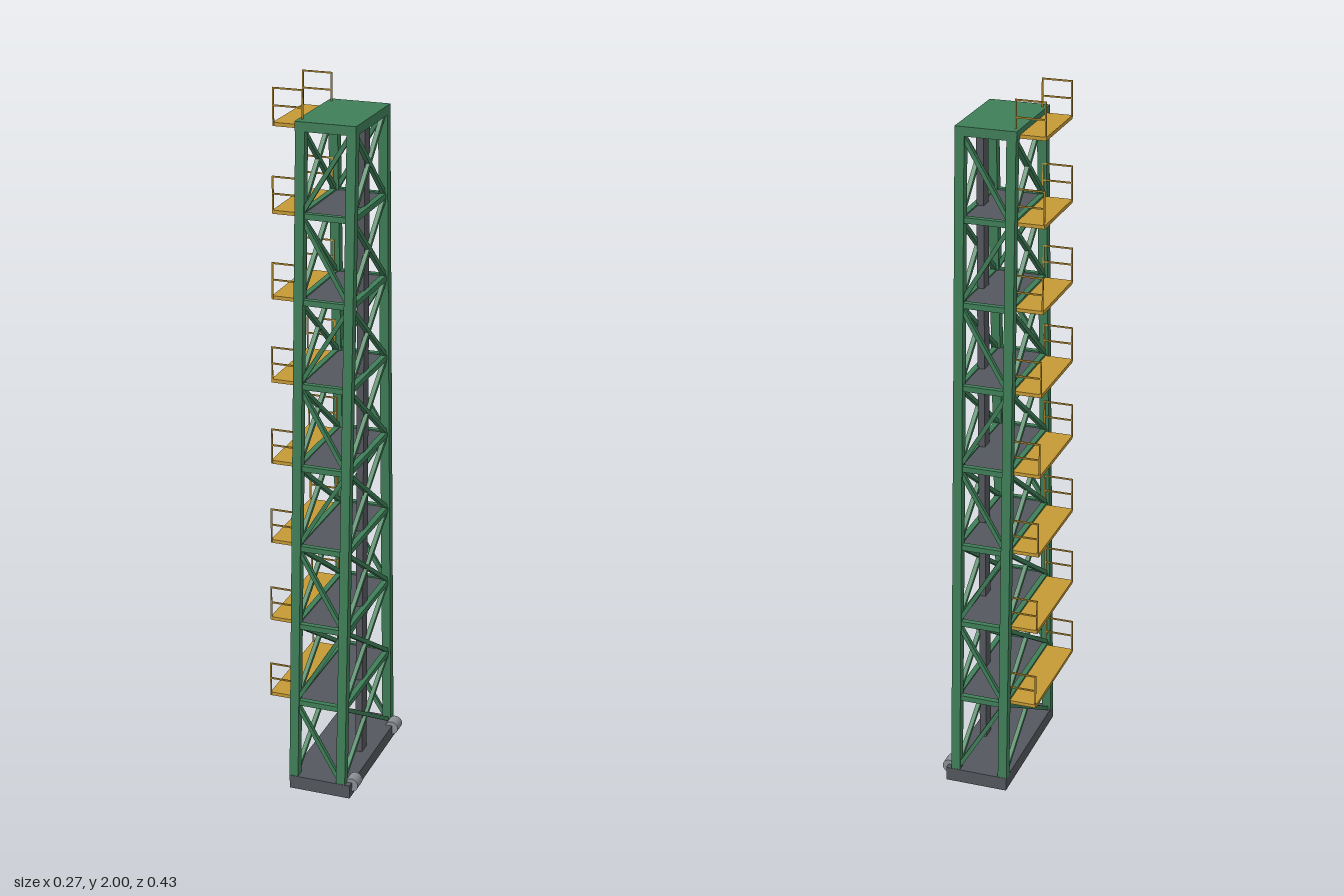
import * as THREE from 'three';

const paint = (name, color) => {
  const m = new THREE.MeshStandardMaterial({ color });
  m.name = name;
  return m;
};

export function createModel() {
  const green = paint('green steel', 0x3f7f58);
  const yellow = paint('yellow walkway', 0xc69a35);
  const dark = paint('dark grey steel', 0x54575d);
  const grey = paint('light grey metal', 0x8c9096);

  const tower = new THREE.Group();
  tower.name = 'tower';

  const box = (parent, name, mat, w, h, d, x, y, z) => {
    const m = new THREE.Mesh(new THREE.BoxGeometry(w, h, d), mat);
    m.name = name;
    m.position.set(x, y, z);
    parent.add(m);
  };
  // square bar between two points
  const strut = (parent, name, mat, a, b, t) => {
    const p = new THREE.Vector3(...a), q = new THREE.Vector3(...b);
    const m = new THREE.Mesh(new THREE.BoxGeometry(t, t, p.distanceTo(q)), mat);
    m.name = name;
    m.position.copy(p).add(q).multiplyScalar(0.5);
    m.lookAt(q);
    parent.add(m);
  };

  const X0 = -0.051, X1 = 0.09, XM = (X0 + X1) / 2;
  const BAYS = 8, Y0 = 0.035, STEP = 0.2335;
  const levelY = (i) => Y0 + i * STEP;
  const legZ = (y) => 0.201 - (0.079 * (y - Y0)) / (BAYS * STEP);

  // base slab with two end rollers
  box(tower, 'base', dark, 0.181, 0.04, 0.43, 0.0275, 0.02, 0);
  for (const s of [-1, 1]) {
    const roller = new THREE.Mesh(new THREE.CylinderGeometry(0.02, 0.02, 0.04, 24), grey);
    roller.name = 'roller';
    roller.rotation.x = Math.PI / 2;
    roller.position.set(0.116, 0.033, s * 0.176);
    tower.add(roller);
  }

  // central column, top plate and tapering legs
  box(tower, 'column', dark, 0.02, 1.87, 0.04, 0.076, 0.965, 0);
  box(tower, 'topPlate', green, 0.169, 0.026, 0.27, 0.0185, 1.907, 0);
  const yTop = levelY(BAYS);
  for (const x of [X0, X1])
    for (const s of [-1, 1])
      strut(tower, 'leg', green, [x, Y0, s * legZ(Y0)], [x, yTop, s * legZ(yTop)], 0.026);

  for (let i = 0; i < BAYS; i++) {
    const ya = levelY(i), yb = levelY(i + 1);
    const za = legZ(ya), zb = legZ(yb);
    const bay = new THREE.Group();
    bay.name = 'bay' + (i + 1);
    tower.add(bay);

    // crossed braces and beams on the wide sides
    for (const x of [X0, X1]) {
      for (const s of [-1, 1])
        strut(bay, 'crossBrace', green, [x, ya, -s * za], [x, yb, s * zb], 0.012);
      box(bay, 'sideBeam', green, 0.016, 0.016, 2 * zb, x, yb, 0);
    }
    // zigzag braces and beams on the narrow ends
    const [xa, xb] = i % 2 ? [X0, X1] : [X1, X0];
    for (const s of [-1, 1]) {
      strut(bay, 'endBrace', green, [xa, ya, s * za], [xb, yb, s * zb], 0.012);
      box(bay, 'endBeam', green, X1 - X0, 0.016, 0.016, XM, yb, s * zb);
    }
    // inner floor
    if (i < BAYS - 1) box(bay, 'floor', dark, X1 - X0, 0.008, 2 * zb, XM, yb, 0);

    // outer walkway with a railing at each end
    const w = zb * 0.885, y = yb - 0.003;
    box(bay, 'walkway', yellow, 0.082, 0.01, 2 * w, -0.096, y, 0);
    for (const s of [-1, 1]) {
      for (const x of [-0.135, -0.054])
        box(bay, 'railPost', yellow, 0.004, 0.1, 0.004, x, y + 0.048, s * w);
      for (const h of [0.05, 0.096])
        box(bay, 'rail', yellow, 0.085, 0.004, 0.004, -0.0945, y + h, s * w);
    }
  }
  return tower;
}
